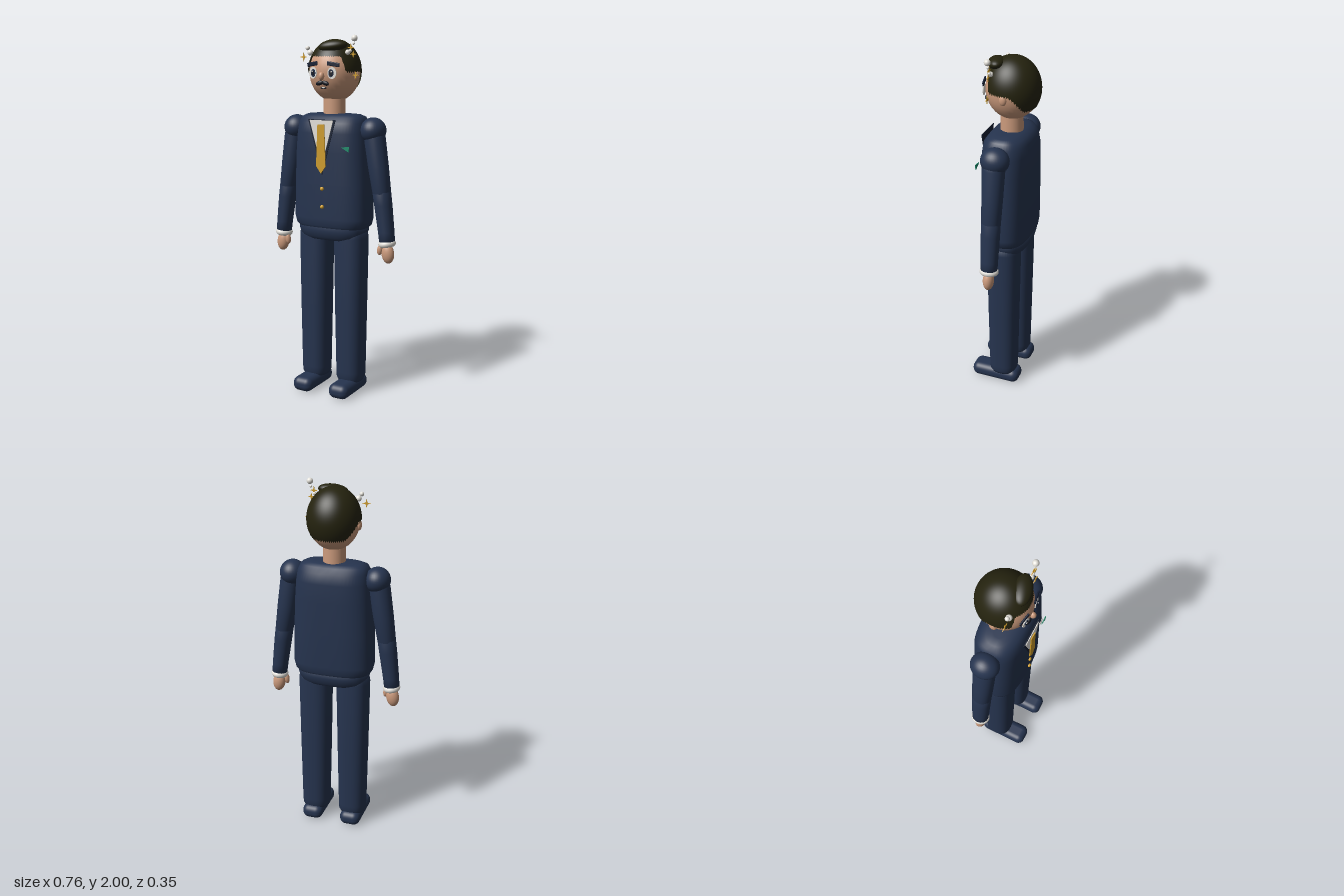
import * as THREE from 'three';
import { RoundedBoxGeometry } from 'three/addons/geometries/RoundedBoxGeometry.js';

const mat = (name, color, side = THREE.FrontSide) => {
  const m = new THREE.MeshStandardMaterial({ color, side });
  m.name = name;
  return m;
};

// Closed smooth body through rounded sections; rows are [y, centreX, centreZ, radiusX, radiusZ], bottom to top
function loft(rows, power = 2, n = 40) {
  const pos = [], idx = [];
  const bend = (v) => Math.sign(v) * Math.abs(v) ** (2 / power);
  rows.forEach(([y, cx, cz, rx, rz], r) => {
    for (let i = 0; i < n; i++) {
      const a = (i / n) * Math.PI * 2;
      pos.push(cx + rx * bend(Math.cos(a)), y, cz + rz * bend(Math.sin(a)));
      if (r === rows.length - 1) continue;
      const p = r * n + i, q = r * n + ((i + 1) % n);
      idx.push(p, p + n, q, q, p + n, q + n);
    }
  });
  for (const [row, flip] of [[0, false], [rows.length - 1, true]]) {
    const c = pos.length / 3, [y, cx, cz] = rows[row];
    pos.push(cx, y, cz);
    for (let i = 0; i < n; i++) {
      const p = row * n + i, q = row * n + ((i + 1) % n);
      idx.push(c, flip ? q : p, flip ? p : q);
    }
  }
  const g = new THREE.BufferGeometry();
  g.setAttribute('position', new THREE.Float32BufferAttribute(pos, 3));
  g.setIndex(idx);
  g.computeVertexNormals();
  return g;
}

const ball = (rx, ry, rz) => new THREE.SphereGeometry(1, 32, 20).scale(rx, ry, rz);

// Thin plate facing forward, from outline points
const plate = (points, depth = 0.004) => new THREE.ExtrudeGeometry(
  new THREE.Shape(points.map(([x, y]) => new THREE.Vector2(x, y))), { depth, bevelEnabled: false });

const disc = (rx, ry) => new THREE.CylinderGeometry(1, 1, 0.004, 24).rotateX(Math.PI / 2).scale(rx, ry, 1);

// Hair cap: a dome whose lower edge changes with the angle from the front
function hairCap() {
  const g = new THREE.SphereGeometry(1, 72, 24);
  const { position, normal, uv } = g.attributes;
  for (let i = 0; i < position.count; i++) {
    const phi = uv.getX(i) * Math.PI * 2;
    const away = Math.acos(THREE.MathUtils.clamp(Math.sin(phi), -1, 1)) * 180 / Math.PI;
    const edge = 1.885 - 0.085 * THREE.MathUtils.smoothstep(away, 42, 56)
      - 0.09 * THREE.MathUtils.smoothstep(away, 95, 140);
    const row = Math.floor(i / 73) / 24;
    const t = row * Math.acos((edge - 1.81) / 0.17);
    const x = -Math.cos(phi) * Math.sin(t), y = Math.cos(t), z = Math.sin(phi) * Math.sin(t);
    position.setXYZ(i, x, y, z);
    normal.setXYZ(i, x, y, z);
  }
  return g.scale(0.145, 0.17, 0.15);
}

export function createModel() {
  const model = new THREE.Group();
  model.name = 'manInSuit';
  const suit = mat('suitNavy', 0x26344f);
  const lapelDark = mat('lapelNavy', 0x172034);
  const skin = mat('skin', 0xcb9a7c);
  const hair = mat('hair', 0x25230f, THREE.DoubleSide);
  const gold = mat('gold', 0xcf9d2c);
  const white = mat('white', 0xe6e3dc);
  const green = mat('green', 0x1f8c6c);
  const dark = mat('dark', 0x12151f);

  const add = (name, geometry, material, x = 0, y = 0, z = 0, parent = model) => {
    const m = new THREE.Mesh(geometry, material);
    m.name = name;
    m.position.set(x, y, z);
    parent.add(m);
    return m;
  };

  // Jacket and hips
  add('jacket', loft([
    [0.945, 0, -0.017, 0.17, 0.09], [0.95, 0, -0.017, 0.195, 0.115], [0.97, 0, -0.017, 0.216, 0.127],
    [1.01, 0, -0.017, 0.226, 0.132], [1.2, 0, -0.017, 0.222, 0.133], [1.38, 0, -0.017, 0.214, 0.133],
    [1.48, 0, -0.017, 0.206, 0.131], [1.535, 0, -0.017, 0.197, 0.122], [1.565, 0, -0.017, 0.182, 0.1],
    [1.578, 0, -0.017, 0.155, 0.07], [1.582, 0, -0.017, 0.11, 0.04]], 2.8, 56), suit);
  add('hips', loft([
    [0.882, 0, -0.017, 0.13, 0.07], [0.887, 0, -0.017, 0.165, 0.095], [0.905, 0, -0.017, 0.186, 0.112],
    [0.94, 0, -0.017, 0.2, 0.121], [1, 0, -0.017, 0.203, 0.12]], 2.8, 56), suit);

  // Shirt front, tie, buttons and pocket square
  add('lapels', plate([[-0.084, 1.555], [0, 1.255], [0.084, 1.555]]), lapelDark, 0, 0, 0.117);
  add('shirtFront', plate([[-0.072, 1.552], [-0.028, 1.4], [0, 1.32], [0.028, 1.4], [0.072, 1.552]]), white, 0, 0, 0.122);
  add('tie', plate([[-0.02, 1.53], [-0.029, 1.305], [0, 1.265], [0.029, 1.305], [0.02, 1.53]], 0.006), gold, 0, 0, 0.127);
  for (const y of [1.18, 1.08]) add('button', ball(0.011, 0.011, 0.009), gold, 0, y, 0.12);
  add('pocketSquare', plate([[0.12, 1.412], [0.15, 1.396], [0.165, 1.388], [0.17, 1.418]]), green, 0, 0, 0.12);

  // Legs, shoes and arms, mirrored
  for (const s of [-1, 1]) {
    const side = s > 0 ? 'left' : 'right';
    add(side + 'Leg', loft([
      [0.06, s * 0.112, -0.015, 0.05, 0.05], [0.066, s * 0.112, -0.015, 0.068, 0.068],
      [0.085, s * 0.112, -0.015, 0.077, 0.078], [0.12, s * 0.112, -0.015, 0.079, 0.08],
      [0.5, s * 0.111, -0.015, 0.086, 0.086], [0.9, s * 0.11, -0.016, 0.092, 0.091],
      [0.97, s * 0.11, -0.016, 0.08, 0.08]], 2.5), suit);
    add(side + 'Shoe', new RoundedBoxGeometry(0.12, 0.083, 0.287, 5, 0.038), suit, s * 0.116, 0.0415, 0.028);

    add(side + 'Shoulder', ball(0.07, 0.07, 0.077), suit, s * 0.24, 1.497, -0.017);
    add(side + 'UpperArm', loft([
      [1.14, s * 0.298, -0.015, 0.03, 0.03], [1.16, s * 0.297, -0.015, 0.05, 0.052],
      [1.3, s * 0.275, -0.015, 0.056, 0.056], [1.46, s * 0.251, -0.015, 0.058, 0.06],
      [1.53, s * 0.242, -0.015, 0.045, 0.045]], 2.1), suit);
    add(side + 'Forearm', loft([
      [0.885, s * 0.333, -0.015, 0.042, 0.045], [0.95, s * 0.326, -0.015, 0.044, 0.047],
      [1.1, s * 0.306, -0.015, 0.049, 0.051], [1.17, s * 0.296, -0.015, 0.05, 0.052],
      [1.19, s * 0.294, -0.015, 0.035, 0.035]], 2.1), suit);
    const cuff = add(side + 'Cuff', new THREE.TorusGeometry(0.034, 0.016, 14, 36)
      .rotateX(Math.PI / 2).scale(0.95, 1.1, 1.05), white, s * 0.332, 0.885, -0.015);
    cuff.rotation.z = s * 0.13;
    const hand = add(side + 'Hand', ball(0.036, 0.056, 0.03), skin, s * 0.338, 0.83, -0.013);
    hand.rotation.z = s * 0.12;
    const thumb = add(side + 'Thumb', ball(0.016, 0.032, 0.016), skin, s * 0.297, 0.85, 0);
    thumb.rotation.z = s * -0.15;
  }

  // Neck and head
  add('neck', new THREE.CylinderGeometry(0.06, 0.062, 0.13, 32), skin, 0, 1.615, -0.02);
  add('head', ball(0.138, 0.16, 0.143), skin, 0, 1.805, -0.025);
  add('hairCap', hairCap(), hair, 0, 1.81, -0.025);
  const quiff = add('quiff', ball(0.08, 0.032, 0.046), hair, 0.03, 1.944, 0.052);
  quiff.rotation.set(0.1, 0.3, 0.08);
  add('nose', ball(0.015, 0.022, 0.017), skin, 0, 1.785, 0.122);

  // Face features, mirrored
  for (const s of [-1, 1]) {
    const side = s > 0 ? 'left' : 'right';
    add(side + 'Ear', ball(0.014, 0.028, 0.02), skin, s * 0.136, 1.785, -0.02);
    const eye = new THREE.Group();
    eye.name = side + 'Eye';
    eye.position.set(s * 0.058, 1.802, 0.112);
    eye.rotation.y = s * 0.15;
    model.add(eye);
    add('eyeWhite', disc(0.025, 0.031), white, 0, 0, 0, eye);
    add('iris', disc(0.014, 0.021), suit, -s * 0.004, -0.001, 0.003, eye);
    add('pupil', disc(0.009, 0.014), dark, -s * 0.004, -0.001, 0.005, eye);
    add('eyeGlint', disc(0.004, 0.004), white, -s * 0.001, 0.007, 0.007, eye);
    const brow = add(side + 'Brow', new RoundedBoxGeometry(0.07, 0.022, 0.009, 2, 0.004), lapelDark, s * 0.064, 1.848, 0.108);
    brow.rotation.set(0, s * 0.2, -s * 0.15);
    const moustache = add(side + 'Moustache', ball(0.022, 0.012, 0.009), dark, s * 0.018, 1.748, 0.112);
    moustache.rotation.z = -s * 0.3;
  }
  add('mouth', disc(0.018, 0.006), dark, 0, 1.722, 0.1);
  add('teeth', disc(0.011, 0.003), white, 0, 1.724, 0.103);

  // Floating sparkles and pearls around the hair
  const star = (r) => plate(Array.from({ length: 8 }, (_, i) => {
    const a = i * Math.PI / 4, q = i % 2 ? r * 0.28 : r;
    return [q * Math.cos(a), q * Math.sin(a)];
  }));
  for (const [x, y, r] of [[-0.153, 1.884, 0.023], [0.168, 1.791, 0.022], [0.153, 1.9, 0.02], [0.138, 1.934, 0.022]])
    add('sparkle', star(r), gold, x, y, 0.049);
  for (const [x, y, r] of [[-0.127, 1.932, 0.012], [-0.11, 1.907, 0.016], [0.16, 1.983, 0.017],
    [0.155, 1.955, 0.007], [0.12, 1.91, 0.014], [0.135, 1.918, 0.009]])
    add('pearl', ball(r, r, r), white, x, y, 0.051);

  return model;
}
